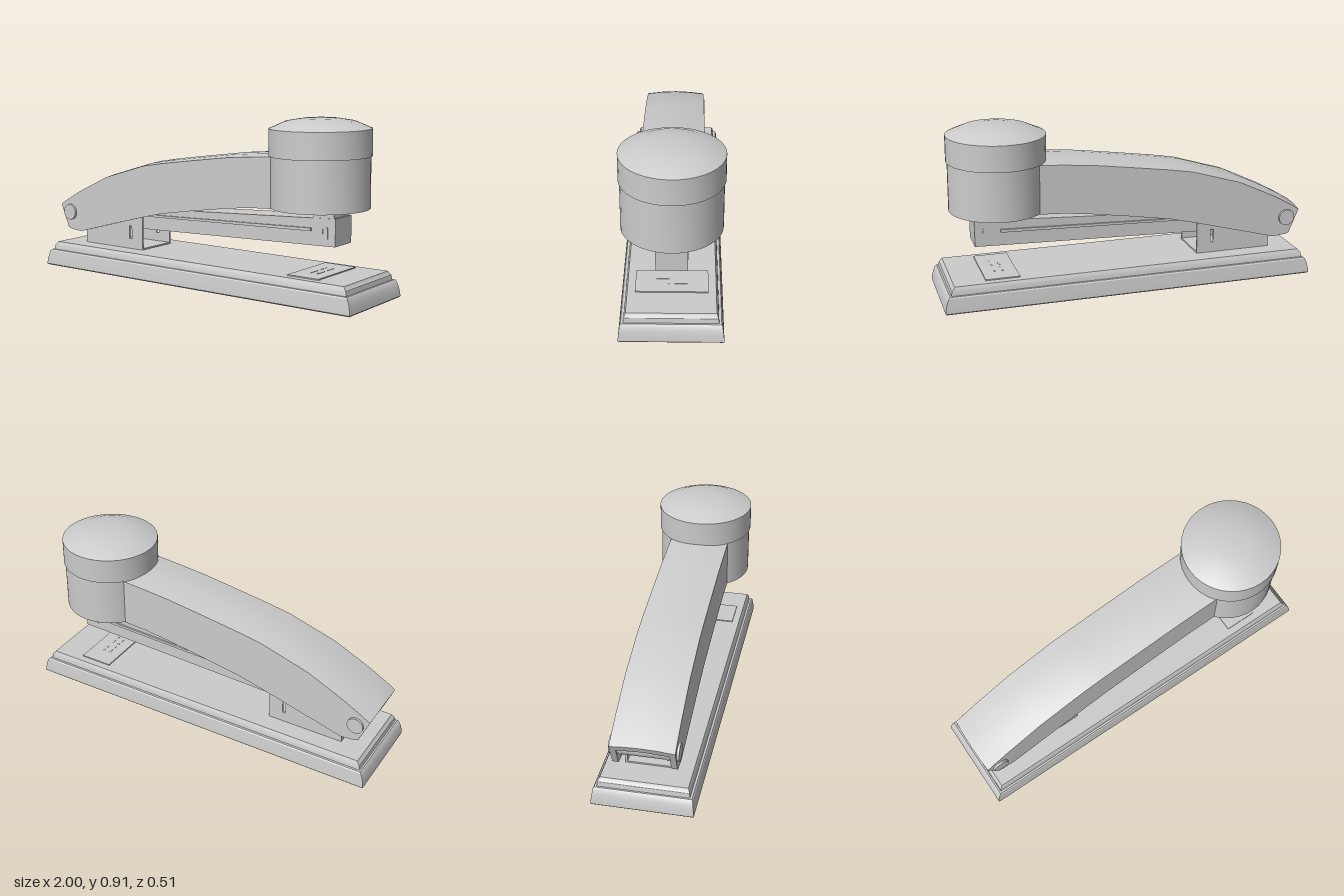
import * as THREE from 'three';
import { toCreasedNormals } from 'three/addons/utils/BufferGeometryUtils.js';

const grey = new THREE.MeshStandardMaterial({ color: 0xcccccc, side: THREE.DoubleSide });

export function createModel() {
  const model = new THREE.Group();
  model.name = 'stapler';

  const add = (name, geometry, x = 0, y = 0, z = 0, parent = model) => {
    const mesh = new THREE.Mesh(geometry, grey);
    mesh.name = name;
    mesh.position.set(x, y, z);
    parent.add(mesh);
    return mesh;
  };

  // Joins closed loops of [x, y, z] points into a skin, with optional flat or ring-shaped ends
  const loft = (loops, endFaces, crease) => {
    const n = loops[0].length;
    const index = [];
    for (let i = 0; i < loops.length - 1; i++) {
      for (let j = 0; j < n; j++) {
        const a = i * n + j, b = i * n + (j + 1) % n;
        index.push(a, b, a + n, b, b + n, a + n);
      }
    }
    const last = (loops.length - 1) * n;
    for (const [a, b, c] of endFaces) index.push(a, c, b, last + a, last + b, last + c);
    const geometry = new THREE.BufferGeometry();
    geometry.setAttribute('position', new THREE.Float32BufferAttribute(loops.flat(2), 3));
    geometry.setIndex(index);
    return toCreasedNormals(geometry, crease);
  };

  // Side profile in x, y given a thickness centred on z
  const plate = (points, depth, holes = []) => {
    const shape = new THREE.Shape(points.map(p => new THREE.Vector2(...p)));
    for (const h of holes) shape.holes.push(new THREE.Path(h.map(p => new THREE.Vector2(...p))));
    return new THREE.ExtrudeGeometry(shape, { depth, bevelEnabled: false }).translate(0, 0, -depth / 2);
  };

  // Rectangular tiers: each row is y, half length, half width
  const tier = rows => loft(
    rows.map(([y, w, d]) => [[-w, y, d], [w, y, d], [w, y, -d], [-w, y, -d]]),
    [[0, 1, 2], [0, 2, 3]], 0.45);

  // Base
  add('baseFoot', tier([[0, 0.995, 0.25], [0.006, 1, 0.255], [0.03, 0.997, 0.253], [0.06, 0.99, 0.249],
    [0.083, 0.98, 0.246], [0.09, 0.973, 0.241]]));
  add('baseDeck', tier([[0.085, 0.965, 0.23], [0.115, 0.96, 0.227], [0.125, 0.95, 0.222], [0.134, 0.945, 0.218]]));

  // Anvil with staple grooves
  add('anvilPlate', new THREE.BoxGeometry(0.18, 0.008, 0.36), 0.69, 0.136, 0);
  for (const x of [0.67, 0.71]) {
    for (const z of [-0.045, 0.045]) {
      add('stapleGroove', new THREE.BoxGeometry(0.012, 0.002, 0.065), x, 0.1405, z);
    }
  }

  // Hinge bracket: a floor and two walls
  add('bracketFloor', new THREE.BoxGeometry(0.42, 0.01, 0.23), -0.6, 0.137, 0);
  const wallOutline = [[-0.81, 0.134], [-0.39, 0.134], [-0.39, 0.385], [-0.8, 0.385],
    [-0.94, 0.34], [-0.93, 0.27], [-0.81, 0.25]];
  const slot = [[-0.485, 0.19], [-0.485, 0.262], [-0.468, 0.262], [-0.468, 0.19]];
  for (const s of [-1, 1]) {
    add('bracketWall', plate(wallOutline, 0.01, [slot]), 0, 0, s * 0.117);
  }

  // Staple magazine with guide ribs and latch windows
  add('magazine', plate([[-0.78, 0.233], [0.81, 0.285], [0.81, 0.425], [-0.78, 0.34]], 0.156));
  add('magazineNose', plate([[0.68, 0.40], [0.8, 0.40], [0.8, 0.465], [0.68, 0.46]], 0.15));
  for (const s of [-1, 1]) {
    add('guideRib', plate([[-0.38, 0.318], [0.675, 0.352], [0.675, 0.368], [-0.38, 0.330]], 0.012), 0, 0, s * 0.081);
    const frame = [[0.732, 0.318], [0.768, 0.32], [0.768, 0.378], [0.732, 0.376]];
    const window = [[0.739, 0.325], [0.739, 0.37], [0.761, 0.371], [0.761, 0.327]];
    add('latchFrame', plate(frame, 0.004, [window]), 0, 0, s * 0.079);
  }

  // Handle: hollow arched channel, rows are bottom x, y and top x, y
  const stations = [
    [-0.915, 0.215, -0.975, 0.358], [-0.895, 0.207, -0.93, 0.385], [-0.82, 0.20, -0.82, 0.445],
    [-0.62, 0.255, -0.62, 0.54], [-0.35, 0.328, -0.35, 0.622], [-0.22, 0.36, -0.22, 0.645],
    [0, 0.397, 0, 0.677], [0.2, 0.428, 0.2, 0.705], [0.35, 0.447, 0.35, 0.719], [0.495, 0.455, 0.495, 0.73],
  ];
  const armSection = ([bx, by, tx, ty]) => {
    const at = (y, z) => [bx + (tx - bx) * (y - by) / (ty - by), y, z];
    return [
      at(by, 0.16), at(ty - 0.014, 0.16), at(ty - 0.004, 0.085), at(ty, 0),
      at(ty - 0.004, -0.085), at(ty - 0.014, -0.16), at(by, -0.16),
      at(by, -0.13), at(ty - 0.04, -0.13), at(ty - 0.03, 0), at(ty - 0.04, 0.13), at(by, 0.13),
    ];
  };
  const armEnds = [[0, 1, 10], [0, 10, 11], [1, 2, 10], [2, 3, 9], [2, 9, 10],
    [3, 4, 9], [4, 8, 9], [4, 5, 8], [5, 6, 8], [6, 7, 8]];
  add('handleArm', loft(stations.map(armSection), armEnds, 0.35));

  // Hinge pin
  add('hingePin', new THREE.CylinderGeometry(0.044, 0.044, 0.344, 24).rotateX(Math.PI / 2), -0.895, 0.305, 0);

  // Round press head: hollow drum below, domed lid above
  const lathe = points => toCreasedNormals(
    new THREE.LatheGeometry(points.map(p => new THREE.Vector2(...p)), 40), 0.5);
  const head = new THREE.Group();
  head.name = 'pressHead';
  head.position.set(0.675, 0.46, 0);
  head.rotation.z = 0.012;
  model.add(head);
  add('headDrum', lathe([[0, 0.22], [0.225, 0.22], [0.225, 0], [0.25, 0], [0.25, 0.265]]), 0, 0, 0, head);
  add('headLid', lathe([[0.24, 0.26], [0.257, 0.26], [0.257, 0.396], [0.175, 0.432], [0.09, 0.446], [0, 0.45]]),
    0, 0, 0, head);

  return model;
}
